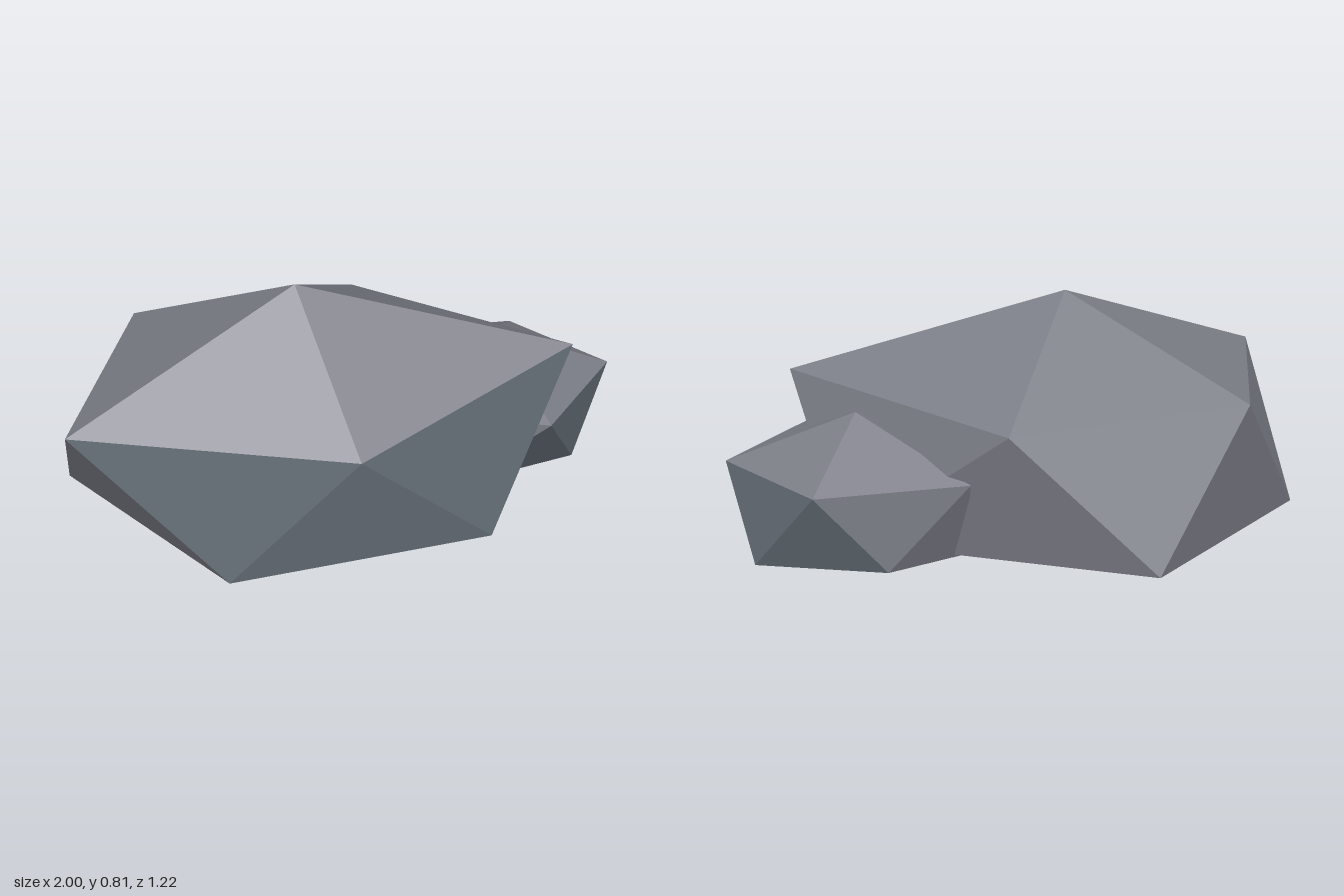
import * as THREE from 'three';

const stone = new THREE.MeshStandardMaterial({ color: 0x7a7c85 });
stone.name = 'greyStone';
const slate = new THREE.MeshStandardMaterial({ color: 0x5f6870 });
slate.name = 'blueSlate';

// Faceted boulder: peak, shoulder ring, foot ring, base centre.
// Each tone string gives one letter per facet: g = grey stone, b = blue slate.
function boulder(name, { peak, shoulder, foot, base, tones }) {
  const facets = { g: [], b: [] };
  const n = shoulder.length;
  for (let i = 0; i < n; i++) {
    const j = (i + 1) % n;
    const add = (row, ...corners) => facets[tones[row][i]].push(...corners.flat());
    add('cap', peak, shoulder[i], shoulder[j]);
    add('side', shoulder[i], foot[i], shoulder[j]);
    add('skirt', foot[i], foot[j], shoulder[j]);
    add('base', base, foot[j], foot[i]);
  }
  const positions = [...facets.g, ...facets.b];
  const geometry = new THREE.BufferGeometry();
  geometry.setAttribute('position', new THREE.Float32BufferAttribute(positions, 3));
  geometry.addGroup(0, facets.g.length / 3, 0);
  geometry.addGroup(facets.g.length / 3, facets.b.length / 3, 1);
  geometry.computeVertexNormals(); // unshared corners give flat facets
  const mesh = new THREE.Mesh(geometry, [stone, slate]);
  mesh.name = name;
  return mesh;
}

export function createModel() {
  const model = new THREE.Group();
  model.name = 'rocks';

  // Large boulder
  model.add(boulder('largeRock', {
    peak: [-0.16, 0.81, 0.03],
    shoulder: [[-0.9, 0.52, 0.46], [0.04, 0.435, 0.52], [0.8, 0.54, 0.03], [0.06, 0.46, -0.52], [-0.75, 0.49, -0.31]],
    foot: [[-0.4, 0.01, 0.61], [0.5, 0.01, 0.415], [0.61, 0.01, -0.27], [-0.42, 0.01, -0.61], [-1, 0.01, 0.03]],
    base: [-0.18, 0.01, 0.02],
    tones: { cap: 'ggggg', side: 'bbggg', skirt: 'bgggg', base: 'bgbgb' },
  }));

  // Small boulder leaning into its side
  model.add(boulder('smallRock', {
    peak: [0.56, 0.455, -0.21],
    shoulder: [[0.715, 0.32, 0.205], [1, 0.29, -0.21], [0.68, 0.27, -0.53], [0.18, 0.28, -0.46], [0.26, 0.3, 0.08]],
    foot: [[0.86, 0, -0.02], [0.89, 0, -0.42], [0.45, 0, -0.505], [0.2, 0, -0.37], [0.41, 0, 0.13]],
    base: [0.56, 0, -0.21],
    tones: { cap: 'ggggg', side: 'bbggg', skirt: 'bbggb', base: 'gbbgg' },
  }));

  return model;
}
